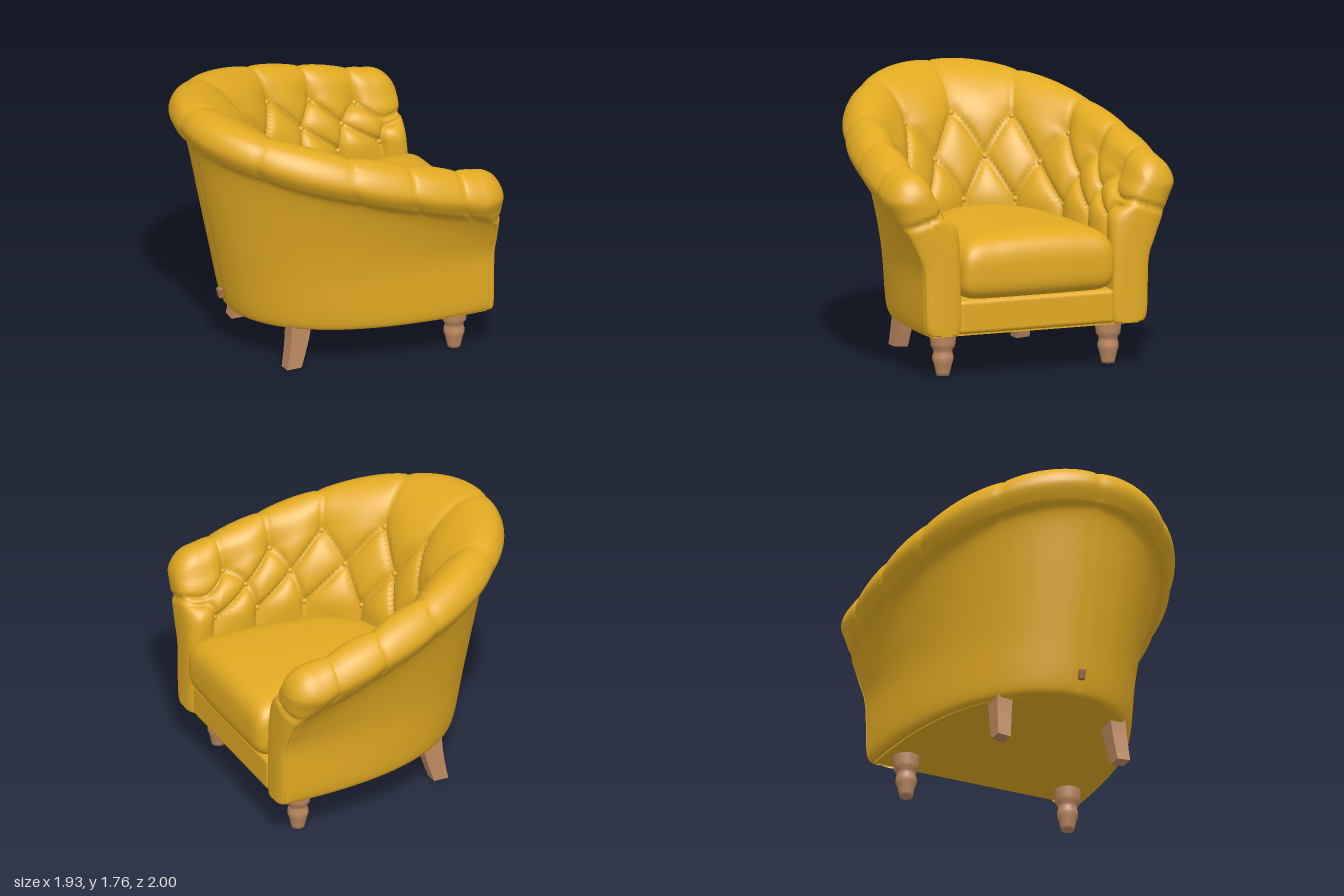
import * as THREE from 'three';
import { mergeVertices } from 'three/addons/utils/BufferGeometryUtils.js';
import { RoundedBoxGeometry } from 'three/addons/geometries/RoundedBoxGeometry.js';

const V = (x, y, z) => new THREE.Vector3(x, y, z);
const { clamp, lerp, mapLinear, smoothstep } = THREE.MathUtils;

// Smooth surface from ni x nj points; quads are split along the deeper diagonal
function grid(ni, nj, point, depth = () => 0) {
  const pos = [], index = [];
  for (let i = 0; i < ni; i++) for (let j = 0; j < nj; j++) {
    const p = point(i, j);
    pos.push(p.x, p.y, p.z);
    if (i === ni - 1 || j === nj - 1) continue;
    const a = i * nj + j, b = a + 1, c = a + nj, d = c + 1;
    if (depth(i, j) + depth(i + 1, j + 1) > depth(i, j + 1) + depth(i + 1, j)) index.push(a, b, d, a, d, c);
    else index.push(a, b, c, b, d, c);
  }
  const g = new THREE.BufferGeometry();
  g.setAttribute('position', new THREE.Float32BufferAttribute(pos, 3));
  g.setIndex(index);
  g.computeVertexNormals();
  return g;
}

// Rails of the U-shaped shell, outer bottom to inner bottom:
// [front x, back x, half width, height at x = 0, slope]
const RAILS = [
  [0.85, -0.57, 0.70, 0.278, 0.01],
  [0.87, -0.64, 0.765, 0.325, 0.01],
  [0.87, -0.72, 0.78, 0.68, 0],
  [0.87, -0.80, 0.825, 0.96, -0.15],
  [0.83, -0.87, 0.89, 1.195, -0.28],    // crease under the roll
  [0.74, -0.935, 0.96, 1.275, -0.27],
  [0.72, -0.975, 1.00, 1.375, -0.27],
  [0.72, -0.92, 0.94, 1.49, -0.27],
  [0.72, -0.78, 0.83, 1.54, -0.27],     // top of the roll
  [0.72, -0.60, 0.735, 1.49, -0.27],
  [0.72, -0.46, 0.675, 1.365, -0.27],   // first button row
  [0.76, -0.345, 0.60, 1.17, -0.13],    // second button row
  [0.82, -0.25, 0.54, 0.94, 0],         // third button row
  [0.87, -0.26, 0.53, 0.62, 0],
  [0.87, -0.26, 0.53, 0.33, 0],
  [0.85, -0.25, 0.55, 0.28, 0],
];
const CREASE = 4, ROLL_TOP = 8, ROW1 = 10, ROW3 = 12, STEP = 10, COL = 20, CAP = 12;
const planCurve = new THREE.CatmullRomCurve3(RAILS.map(r => V(r[0], r[1], r[2])), false, 'catmullrom');
const riseCurve = new THREE.CatmullRomCurve3(RAILS.map(r => V(r[3], r[4], 0)), false, 'catmullrom');

// Angle round the U for a tuft column, 1 near the arm front to 5 at the back centre
const COLS = [0.6, 1, 2, 3, 4, 5];
const OUTER = [0, 0.037, 0.203, 0.451, 0.934, Math.PI / 2];
const INNER = [0, 0.025, 0.207, 0.52, 1.03, Math.PI / 2];
function angleAt(u, inner) {
  const k = clamp(Math.floor(u), 0, 4);
  const at = list => mapLinear(u, COLS[k], COLS[k + 1], list[k], list[k + 1]);
  return lerp(at(OUTER), at(INNER), inner);
}

function railPoint(t, u, side) {
  const n = t / (RAILS.length - 1), a = planCurve.getPoint(n), b = riseCurve.getPoint(n);
  const inner = clamp((t - ROLL_TOP + 1) / 3, 0, 1), th = angleAt(u, inner);
  const f = Math.pow(Math.max(0, Math.sin(th)), lerp(0.8, 0.62, inner));
  const x = lerp(a.x, a.y, f);
  return V(x, b.x + b.y * x, side * a.z * Math.max(0, Math.cos(th)));
}

// Stations: rounded arm end, along the arm to the back, then the mirrored half
function makeStations() {
  const half = [];
  for (let k = CAP; k > 0; k--) half.push({ u: 0.6, cap: k / CAP * Math.PI / 2, side: 1 });
  for (let k = 0.6 * COL; k <= 5 * COL; k++) half.push({ u: k / COL, cap: 0, side: 1 });
  return [...half, ...half.slice(0, -1).reverse().map(s => ({ ...s, side: -1 }))];
}

function shellPoint(t, s) {
  const p = railPoint(t, s.u, s.side);
  if (s.cap > 0) {
    const c = Math.max(0, Math.cos(s.cap)), kz = Math.pow(c, 0.7);
    const ky = Math.pow(c, lerp(0.7, 1, smoothstep(p.y, 1.1, 1.25)));
    const my = clamp(p.y, 0.3, 1.15), mz = s.side * (0.65 + Math.max(0, my - 0.8) * 0.4);
    p.set(lerp(p.x, 0.91, Math.sin(s.cap)), lerp(my, p.y, ky), lerp(mz, p.z, kz));
  }
  return p;
}

// Depth of the seams: straight across the roll, diamonds on the inside
function tuftDepth(t, s) {
  if (t <= CREASE || t >= ROW3 + 1) return 0;
  const r = clamp((t - ROW1) / 2, 0, 1);
  const s1 = Math.abs(Math.sin(Math.PI * (s.u - r))), s2 = Math.abs(Math.sin(Math.PI * (s.u + r)));
  const inner = clamp((t - ROLL_TOP) / 2, 0, 1);
  const fade = Math.min(1, t - CREASE, ROW3 + 1 - t) * Math.cos(s.cap) ** 2;
  const seam = lerp(0.018, 0.06, inner) * (1 - Math.pow(s1 * s2, lerp(0.2, 0.4, inner))) - 0.014 * inner;
  const dimple = 0.015 * inner * Math.exp(-(s1 * s1 + s2 * s2 + Math.max(0, ROW1 - t) ** 2 * 4) * 6);
  return fade * (seam + dimple);
}

// Plain seams: across the arm front, up its outer edge, and up the middle of the back
function plainSeam(p, t, s) {
  if (s.cap > 0) {
    const line = 1.1 - (Math.abs(p.z) - 0.6) * 0.36;
    return 0.02 * Math.sin(s.cap) * Math.exp(-(((p.y - line) / 0.022) ** 2));
  }
  if (t < 1 || t > CREASE) return 0;
  return s.u === 0.6 ? 0.012 : s.u === 5 ? 0.005 : 0;
}

export function createModel() {
  const model = new THREE.Group();
  const fabric = new THREE.MeshStandardMaterial({ color: 0xe2aa22, side: THREE.DoubleSide });
  fabric.name = 'mustard upholstery';
  const wood = new THREE.MeshStandardMaterial({ color: 0xbd8960 });
  wood.name = 'light wood';
  const brown = new THREE.MeshStandardMaterial({ color: 0xa56f4a });
  brown.name = 'brown tab';
  const add = (name, geo, mat, x = 0, y = 0, z = 0) => {
    const m = new THREE.Mesh(geo, mat);
    m.name = name;
    m.position.set(x, y, z);
    model.add(m);
    return m;
  };

  // Tufted shell: arms, back and roll in one surface
  const stations = makeStations(), nj = (RAILS.length - 1) * STEP + 1;
  const depth = (i, j) => tuftDepth(j / STEP, stations[i]);
  const shell = grid(stations.length, nj, (i, j) => shellPoint(j / STEP, stations[i]), depth);
  const pos = shell.attributes.position, nor = shell.attributes.normal;
  const p = V(), n = V();
  for (let v = 0; v < pos.count; v++) {
    const i = Math.floor(v / nj), j = v % nj;
    p.fromBufferAttribute(pos, v);
    const d = depth(i, j) + plainSeam(p, j / STEP, stations[i]);
    p.addScaledVector(n.fromBufferAttribute(nor, v), -d);
    pos.setXYZ(v, p.x, p.y, p.z);
  }
  shell.computeVertexNormals();
  add('tuftedShell', shell, fabric);

  // Buttons where the diamond seams cross
  const buttonGeo = new THREE.SphereGeometry(0.02, 12, 8);
  stations.forEach((s, i) => {
    for (let row = 0; row < 3; row++) {
      const on = s.u - (row === 1 ? 0.5 : 0);
      if (s.cap > 0 || s.u < 0.9 || Math.abs(on - Math.round(on)) > 1e-6) continue;
      p.fromBufferAttribute(pos, i * nj + (ROW1 + row) * STEP);
      add('button', buttonGeo, fabric, p.x, p.y, p.z);
    }
  });

  // Seat cushion: D-shaped outline, flat base and a crowned top that falls to the sides
  const sideLine = [[0.96, 0.3], [0.94, 0.5], [0.86, 0.535], [0.3, 0.495], [0, 0.41], [-0.19, 0.25]];
  const outline = new THREE.CatmullRomCurve3([
    V(0.965, 0, 0), ...sideLine.map(c => V(c[0], 0, c[1])),
    V(-0.27, 0, 0), ...sideLine.map(c => V(c[0], 0, -c[1])).reverse(),
  ], true, 'centripetal');
  const ring = outline.getPoints(96);
  const cushion = mergeVertices(grid(97, 41, (i, j) => {
    const a = (j / 40 - 0.5) * Math.PI, sn = Math.sin(a), top = sn > 0;
    const k = j % 40 === 0 ? 0 : Math.pow(Math.cos(a), top ? 0.28 : 0.2);
    const z = ring[i].z * k;
    const y = top ? 0.69 + (0.25 - 0.13 * z * z) * Math.pow(sn, 0.7) : 0.69 - 0.19 * Math.pow(-sn, 0.6);
    return V(0.35 + (ring[i].x - 0.35) * k, y, z);
  }).deleteAttribute('normal'));
  cushion.computeVertexNormals();
  add('seatCushion', cushion, fabric);

  // Front rail under the cushion and the floor panel
  add('frontRail', new RoundedBoxGeometry(0.9, 0.22, 1.08, 4, 0.03), fabric, 0.445, 0.4, 0);
  const floor = new THREE.Shape();
  for (let k = -40; k <= 40; k++) {
    const q = railPoint(0.3, 0.6 + 4.4 * (1 - Math.abs(k) / 40), Math.sign(k) || 1);
    k === -40 ? floor.moveTo(q.x, q.z) : floor.lineTo(q.x, q.z);
  }
  const floorGeo = new THREE.ExtrudeGeometry(floor, { depth: 0.025, bevelEnabled: false });
  add('floorPanel', floorGeo.rotateX(Math.PI / 2), fabric, 0, 0.302, 0);

  // Turned front legs and curved square back legs
  const turned = new THREE.LatheGeometry([
    [0, 0], [0.042, 0], [0.046, 0.02], [0.06, 0.08], [0.068, 0.1], [0.068, 0.125], [0.06, 0.15],
    [0.063, 0.17], [0.078, 0.19], [0.08, 0.21], [0.09, 0.29], [0.09, 0.33],
  ].map(c => new THREE.Vector2(c[0], c[1])), 28);
  const backLeg = new THREE.BoxGeometry(1, 1, 1, 1, 8, 1);
  const lp = backLeg.attributes.position;
  for (let v = 0; v < lp.count; v++) {
    const h = lp.getY(v) + 0.5, bend = 0.06 * (1 - h) ** 1.5;
    lp.setXYZ(v, lp.getX(v) * (0.1 + 0.045 * h) - bend, h * 0.33, lp.getZ(v) * (0.09 + 0.02 * h));
  }
  backLeg.computeVertexNormals();
  for (const side of [1, -1]) {
    add('frontLeg', turned, wood, 0.695, 0, side * 0.575);
    add('backLeg', backLeg, wood, -0.32, 0, side * 0.425).rotation.x = -side * 0.08;
  }

  // Small tab low on the back
  add('backTab', new RoundedBoxGeometry(0.04, 0.07, 0.04, 2, 0.008), brown, -0.685, 0.405, 0).rotation.z = 0.2;

  return model;
}
